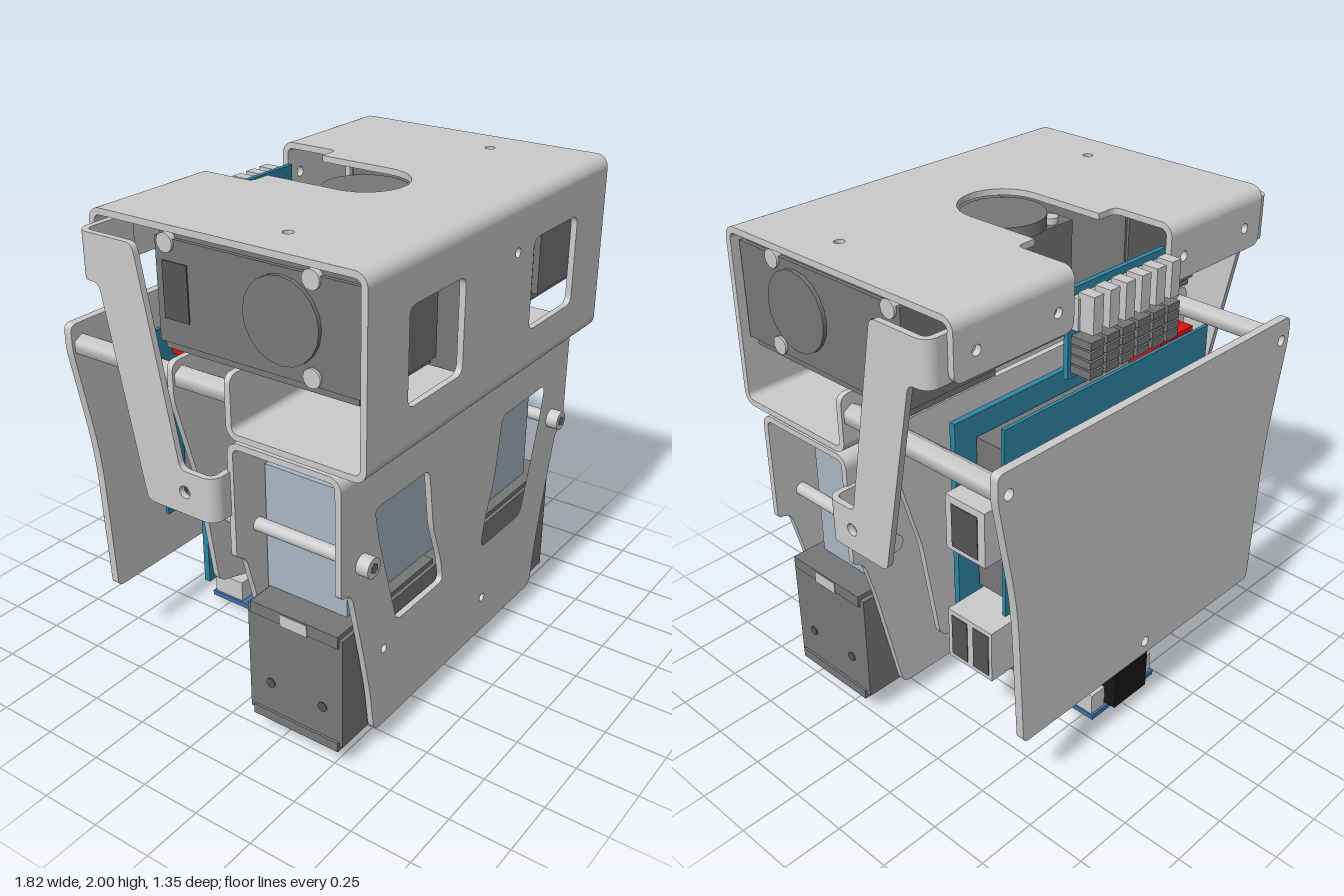
import * as THREE from 'three';

const mat = (color) => new THREE.MeshStandardMaterial({ color });
const grey = mat(0xcccccc), dark = mat(0x777777), darker = mat(0x555555), black = mat(0x161616);
const teal = mat(0x2f86a6), blue = mat(0x3f72ad), battery = mat(0xa9b6c4), red = mat(0xdd1111);
const T = 0.025, R = 0.05; // sheet thickness and outer bend radius

function add(parent, name, geometry, material = grey) {
  const m = new THREE.Mesh(geometry, material);
  m.name = name;
  parent.add(m);
  return m;
}
// box given by its limits
function box(parent, name, x0, x1, y0, y1, z0, z1, material) {
  const g = new THREE.BoxGeometry(x1 - x0, y1 - y0, z1 - z0);
  g.translate((x0 + x1) / 2, (y0 + y1) / 2, (z0 + z1) / 2);
  return add(parent, name, g, material);
}
// cylinder centred at x, y, z along an axis
function rod(parent, name, axis, r, len, x, y, z, material, sides = 24) {
  const g = new THREE.CylinderGeometry(r, r, len, sides);
  if (axis === 'x') g.rotateZ(Math.PI / 2);
  if (axis === 'z') g.rotateX(Math.PI / 2);
  g.translate(x, y, z);
  return add(parent, name, g, material);
}
// polygon with rounded corners; a point may carry its own radius
function rounded(pts, r = 0.04, Type = THREE.Shape) {
  const s = new Type(), n = pts.length, v = pts.map((p) => new THREE.Vector2(p[0], p[1]));
  v.forEach((p, i) => {
    const rad = pts[i][2] ?? r, toward = (q) => p.clone().add(q.clone().sub(p).setLength(rad));
    const a = toward(v[(i + n - 1) % n]), b = toward(v[(i + 1) % n]);
    if (i) s.lineTo(a.x, a.y); else s.moveTo(a.x, a.y);
    if (rad) s.quadraticCurveTo(p.x, p.y, b.x, b.y);
  });
  s.closePath();
  return s;
}
const mirror = (half) => [...half, ...half.map(([x, ...q]) => [-x, ...q]).reverse()];
const flip = (pts) => pts.map(([x, ...q]) => [-x, ...q]);
const circle = (x, y, r) => new THREE.Path().absarc(x, y, r, 0, Math.PI * 2);
const extrude = (shape, depth) => new THREE.ExtrudeGeometry(shape, { depth, bevelEnabled: false, curveSegments: 8 });
// upright plate whose back lies at z
const wall = (parent, name, shape, z, t = T) => add(parent, name, extrude(shape, t).translate(0, 0, z));
// quarter-round sheet bend, starting at the given angle
function arc(cx, cy, start) {
  const s = new THREE.Shape();
  s.absarc(cx, cy, R, start, start + Math.PI / 2, false);
  s.absarc(cx, cy, R - T, start + Math.PI / 2, start, true);
  return s;
}
// bend running along x between x0 and x1, about the centre z, y
function bend(parent, z, y, quarter, x0 = -0.82, x1 = 0.82) {
  const g = extrude(arc(z, y, quarter * Math.PI / 2), x1 - x0).rotateY(-Math.PI / 2);
  add(parent, 'sheetBend', g.translate(x1, 0, 0));
}
function group(parent, name) {
  const g = new THREE.Group();
  g.name = name;
  parent.add(g);
  return g;
}
function mirrored(parent, g) {
  const c = g.clone();
  c.scale.x = -1;
  parent.add(c);
}

function headCase(root) {
  const head = group(root, 'headCase');
  const front = rounded([[-0.82, 1.33], [0.82, 1.33], [0.82, 1.95], [-0.82, 1.95]], 0);
  const win = [[0.24, 1.46], [0.585, 1.46], [0.585, 1.82], [0.24, 1.82]];
  front.holes.push(rounded(win, 0.04, THREE.Path), rounded(flip(win), 0.04, THREE.Path), circle(0.12, 1.8, 0.018));
  wall(head, 'headFront', front, 0.655);
  // top plate with a stepped slot, drawn with y = -z
  const s = new THREE.Shape();
  s.moveTo(-0.82, -0.63);
  [[0.82, -0.63], [0.82, 0.435], [0.26, 0.435], [0.26, 0.25]].forEach((p) => s.lineTo(...p));
  s.quadraticCurveTo(0.26, 0.22, 0.23, 0.22);
  s.lineTo(0.17, 0.22);
  s.lineTo(0.17, -0.1);
  s.absarc(0, -0.1, 0.17, 0, Math.PI, true);
  s.lineTo(-0.17, 0.22);
  s.lineTo(-0.23, 0.22);
  s.quadraticCurveTo(-0.26, 0.22, -0.26, 0.25);
  s.lineTo(-0.26, 0.435);
  s.lineTo(-0.82, 0.435);
  s.holes.push(circle(0.65, -0.25, 0.02), circle(-0.65, -0.25, 0.02));
  add(head, 'headTop', extrude(s, T).rotateX(-Math.PI / 2).translate(0, 1.975, 0));
  box(head, 'headFloor', -0.82, 0.82, 1.28, 1.305, 0.145, 0.63);
  wall(head, 'headRearLip', rounded([[-0.82, 1.33, 0], [0.82, 1.33, 0], [0.82, 1.52], [-0.82, 1.52]]), 0.095);
  bend(head, 0.63, 1.95, 0);
  bend(head, 0.63, 1.33, 3);
  bend(head, 0.145, 1.33, 2);
  for (const m of [1, -1]) {
    bend(head, -0.435, 1.95, 1, m > 0 ? 0.26 : -0.82, m > 0 ? 0.82 : -0.26);
    const f = rounded([[0.26 * m, 1.95, 0], [0.26 * m, 1.77], [0.82 * m, 1.77], [0.82 * m, 1.95, 0]]);
    f.holes.push(circle(0.72 * m, 1.86, 0.02), circle(0.34 * m, 1.86, 0.02));
    wall(head, 'headRearFlange', f, -0.485);
  }
}

function bodyCase(root) {
  const body = group(root, 'bodyCase');
  const front = rounded(mirror([[0.82, 1.22, 0], [0.82, 0.8, 0.02], [0.76, 0.8, 0.05], [0.68, 0.48], [0.64, 0.3], [0.61, 0.095]]));
  const win = [[0.27, 1.065], [0.62, 1.065], [0.59, 0.92], [0.47, 0.52], [0.145, 0.52], [0.17, 0.64], [0.23, 0.8]];
  front.holes.push(rounded(win, 0.035, THREE.Path), rounded(flip(win), 0.035, THREE.Path),
    circle(-0.55, 0.44, 0.018), circle(0.18, 0.26, 0.018));
  wall(body, 'bodyFront', front, 0.555);
  wall(body, 'bodyBack', rounded(mirror([[0.82, 1.22, 0], [0.82, 0.8, 0.02], [0.77, 0.78], [0.72, 0.6], [0.61, 0.095]])), 0.095);
  box(body, 'bodyTop', -0.82, 0.82, 1.245, 1.27, 0.145, 0.53);
  bend(body, 0.53, 1.22, 0);
  bend(body, 0.145, 1.22, 1);
  box(body, 'batteryPack', -0.66, 0.66, 0.6, 1.12, 0.13, 0.49, battery);
  // cross bolts holding front and back together
  for (const x of [-0.695, 0.695]) {
    rod(body, 'boltShaft', 'z', 0.027, 0.5, x, 0.885, 0.33);
    rod(body, 'boltHead', 'z', 0.04, 0.05, x, 0.885, 0.605);
    rod(body, 'boltSocket', 'z', 0.02, 0.004, x, 0.885, 0.631, dark, 6);
    rod(body, 'boltNut', 'z', 0.036, 0.105, x, 0.885, 0.043);
  }
}

function servos(root) {
  // head servos turn sideways, leg servos turn downwards
  const pair = group(root, 'sideServos');
  box(pair, 'headServo', 0.35, 0.775, 1.53, 1.975, -0.2, 0.62, dark);
  box(pair, 'headServoEnd', 0.36, 0.79, 1.56, 1.94, -0.21, 0.645, dark);
  rod(pair, 'headServoHorn', 'x', 0.155, 0.03, 0.79, 1.76, 0.33, dark, 20);
  box(pair, 'headServoLabel', 0.78, 0.795, 1.65, 1.86, -0.18, -0.07, darker);
  for (const [z, y] of [[0.45, 1.925], [0.45, 1.59], [-0.16, 1.925]]) rod(pair, 'servoScrew', 'x', 0.035, 0.03, 0.785, y, z);
  box(pair, 'legServo', 0.03, 0.77, 0.11, 0.585, 0.12, 0.55, dark);
  box(pair, 'legServoTop', 0.15, 0.78, 0.555, 0.605, 0.14, 0.535, dark);
  box(pair, 'legServoFoot', 0.05, 0.78, 0.09, 0.13, 0.14, 0.535, dark);
  box(pair, 'legServoPlug', 0.76, 0.783, 0.55, 0.6, 0.28, 0.4);
  rod(pair, 'legServoHorn', 'y', 0.155, 0.03, 0.58, 0.09, 0.33, dark, 20);
  box(pair, 'legServoLabel', 0.12, 0.25, 0.085, 0.095, 0.22, 0.44, darker);
  for (const z of [0.22, 0.46]) rod(pair, 'servoHole', 'x', 0.02, 0.006, 0.771, 0.26, z, darker);
  mirrored(root, pair);
  box(root, 'neckServo', -0.22, 0.22, 1.45, 1.92, -0.05, 0.645, dark);
  rod(root, 'neckServoHorn', 'y', 0.165, 0.05, 0, 1.945, 0.1, dark, 20);
  for (const x of [-0.14, 0.14]) rod(root, 'servoScrew', 'y', 0.03, 0.03, x, 1.93, -0.01);
}

function sideStrap(root) {
  const strap = group(root, 'sideStrap');
  const s = rounded([[-0.41, 1.945, 0], [-0.2, 1.945], [-0.045, 1.15], [0.055, 1.15, 0], [0.055, 0.975, 0], [-0.21, 0.975], [-0.37, 1.77], [-0.41, 1.77, 0]], 0.03);
  s.holes.push(circle(-0.03, 1.065, 0.025));
  add(strap, 'strapPlate', extrude(s, T).rotateY(-Math.PI / 2).translate(0.91, 0, 0));
  // folds and tabs at both ends
  const fold = (z, quarter, y0, y1) => add(strap, 'strapFold',
    extrude(arc(0.86, -z, quarter * Math.PI / 2), y1 - y0).rotateX(-Math.PI / 2).translate(0, y0, 0));
  fold(-0.41, 0, 1.77, 1.945);
  fold(0.055, 3, 0.975, 1.15);
  box(strap, 'upperTab', 0.66, 0.86, 1.77, 1.945, -0.46, -0.435);
  box(strap, 'lowerTab', 0.66, 0.86, 0.975, 1.15, 0.08, 0.105);
  mirrored(root, strap);
}

function rearFrame(root) {
  const rear = group(root, 'rearFrame');
  const back = rounded(mirror([[0.82, 1.52], [0.82, 1.42], [0.73, 0.95, 0.15], [0.7, 0.32]]), 0.03);
  back.holes.push(circle(0.77, 1.43, 0.022), circle(-0.77, 1.43, 0.022), circle(0, 0.38, 0.022));
  wall(rear, 'backPanel', back, -0.67, 0.035);
  wall(rear, 'middlePlate', rounded(mirror([[0.82, 1.5], [0.82, 1.36], [0.7, 0.95], [0.63, 0.5], [0.17, 0.36], [0.15, 0.19, 0]])), -0.165);
  bend(rear, -0.19, 0.19, 3, -0.15, 0.15);
  rear.children.at(-1).geometry.translate(0, 0, 0);
  rear.children.at(-1).rotation.y = Math.PI; // turn the foot bend backwards
  rear.children.at(-1).position.z = -0.38 + 0.075 - 0.0;
  box(rear, 'footPlate', -0.15, 0.15, 0.14, 0.165, -0.38, -0.19);
  for (const x of [-0.77, 0.77]) {
    rod(rear, 'frontStandoff', 'z', 0.045, 0.24, x, 1.43, -0.025, grey, 6);
    rod(rear, 'rearStandoff', 'z', 0.045, 0.465, x, 1.43, -0.4, grey, 6);
  }
  rod(rear, 'frontStandoff', 'z', 0.045, 0.235, 0, 0.38, -0.025, grey, 6);
  rod(rear, 'rearStandoff', 'z', 0.045, 0.465, 0, 0.38, -0.4, grey, 6);
}

function electronics(root) {
  const e = group(root, 'electronics');
  box(e, 'mainBoard', -0.6, 0.6, 0.45, 1.45, -0.245, -0.22, teal);
  box(e, 'upperBoard', -0.6, 0.55, 0.69, 1.48, -0.435, -0.42, teal);
  box(e, 'boardBlock', -0.5, 0.5, 0.72, 1.36, -0.41, -0.25, dark);
  box(e, 'networkPort', 0.35, 0.66, 0.97, 1.2, -0.445, -0.25);
  box(e, 'networkOpening', 0.65, 0.663, 0.99, 1.17, -0.41, -0.28, darker);
  box(e, 'usbPort', 0.35, 0.66, 0.47, 0.69, -0.47, -0.245);
  for (const z of [-0.415, -0.305]) box(e, 'usbOpening', 0.65, 0.663, 0.49, 0.67, z - 0.04, z + 0.04, darker);
  box(e, 'lowerConnector', -0.3, 0.3, 0.43, 0.48, -0.4, -0.25, darker);
  box(e, 'powerTerminal', -0.52, -0.32, 1.36, 1.5, -0.42, -0.27, red);
  rod(e, 'powerPlug', 'y', 0.045, 0.12, -0.42, 1.54, -0.34);
  for (let i = 0; i < 14; i++) box(e, 'solderPin', 0.5, 0.52, 0.5 + i * 0.06, 0.51 + i * 0.06, -0.22, -0.19, darker);
  // head driver board with plugs and pin rows
  box(e, 'driverBoard', -0.26, 0.26, 1.57, 1.91, -0.46, -0.44, teal);
  for (let i = 0; i < 6; i++) {
    const x = -0.21 + i * 0.084;
    box(e, 'driverPlug', x - 0.025, x + 0.025, 1.76, 1.9, -0.55, -0.48);
    box(e, 'driverPlugBase', x - 0.012, x + 0.035, 1.76, 1.88, -0.49, -0.46);
    for (let j = 0; j < 4; j++) box(e, 'driverPin', x - 0.034, x + 0.034, 1.595 + j * 0.037, 1.625 + j * 0.037, -0.55, -0.46, dark);
  }
  for (let j = 0; j < 3; j++) box(e, 'driverLead', -0.2, 0.2, 1.62 + j * 0.04, 1.63 + j * 0.04, -0.44, -0.41, darker);
  // sensor board under the body
  box(e, 'sensorBoard', -0.2, 0.19, 0.03, 0.052, -0.57, 0, blue);
  box(e, 'sensorJack', -0.1, 0.1, 0.06, 0.275, -0.61, -0.41, black);
  for (const x of [-0.15, 0.145]) box(e, 'sensorPlug', x - 0.04, x + 0.04, 0.05, 0.145, -0.56, -0.41);
  box(e, 'sensorChip', -0.08, 0.08, 0.052, 0.07, -0.36, -0.26);
  box(e, 'sensorPost', -0.01, 0.01, 0.05, 0.19, -0.39, -0.375, mat(0xa8924a));
  for (let i = 0; i < 6; i++) rod(e, 'sensorPin', 'y', 0.008, 0.04, -0.1 + i * 0.04, 0.02, -0.5, black, 6);
}

export function createModel() {
  const root = new THREE.Group();
  root.name = 'robotTorso';
  [headCase, bodyCase, servos, sideStrap, rearFrame, electronics].forEach((build) => build(root));
  return root;
}
